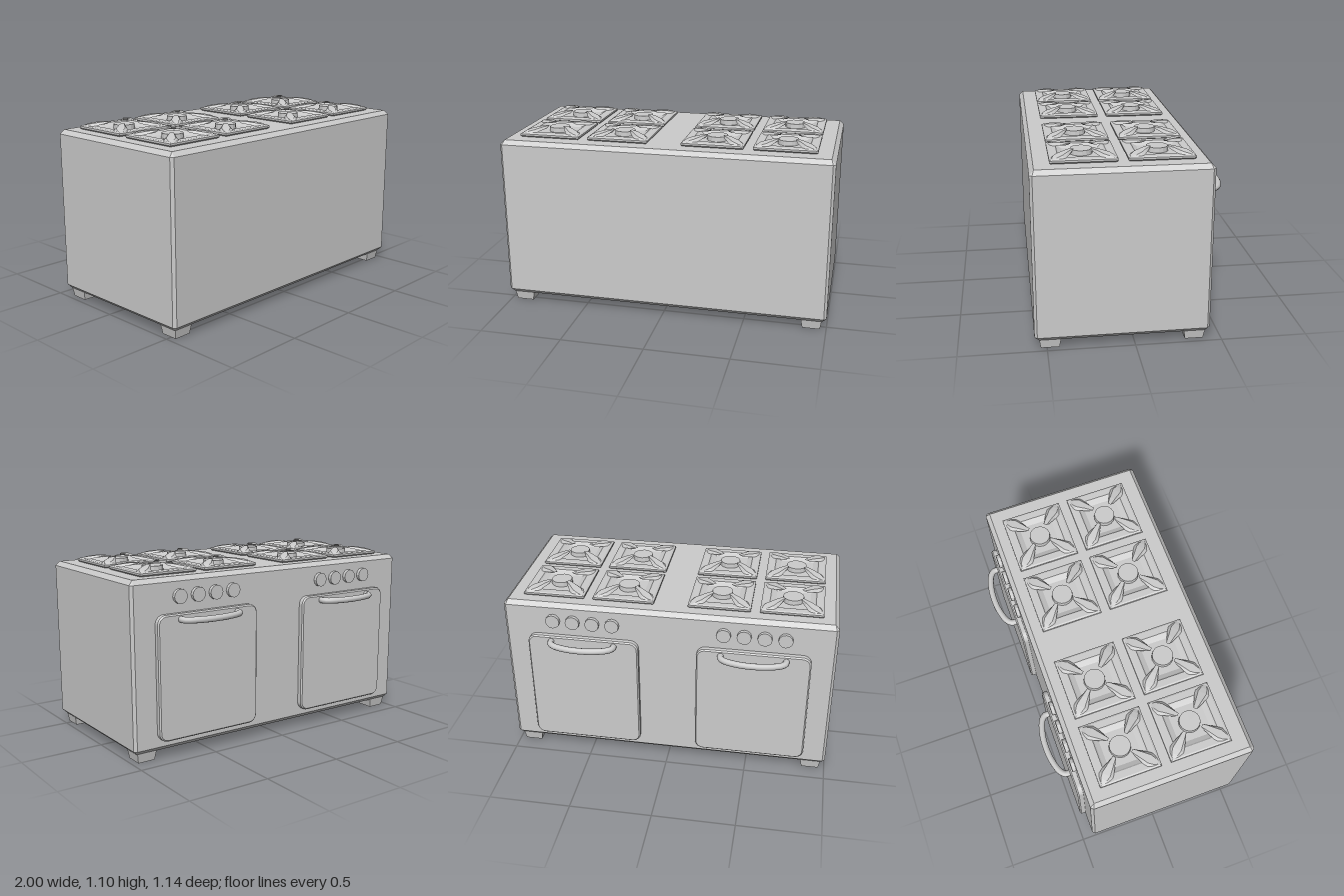
import * as THREE from 'three';
import { ConvexGeometry } from 'three/addons/geometries/ConvexGeometry.js';

const flat = new THREE.MeshStandardMaterial({ color: 0xcccccc, flatShading: true, side: THREE.DoubleSide });
const smooth = new THREE.MeshStandardMaterial({ color: 0xcccccc });

function add(parent, name, geometry, x = 0, y = 0, z = 0, material = flat) {
  const mesh = new THREE.Mesh(geometry, material);
  mesh.name = name;
  mesh.position.set(x, y, z);
  parent.add(mesh);
  return mesh;
}

// Box with every edge cut: c on top and bottom edges, s on the upright edges
function chamferedBox(w, h, d, c, s) {
  const pts = [];
  for (const i of [-1, 1]) for (const j of [-1, 1]) for (const k of [-1, 1]) {
    const p = (x, y, z) => pts.push(new THREE.Vector3(i * x, j * y, k * z));
    p(w / 2 - s, h / 2 - c, d / 2);
    p(w / 2, h / 2 - c, d / 2 - s);
    p(w / 2 - c, h / 2, d / 2 - c);
  }
  return new ConvexGeometry(pts);
}

// Box narrowing toward the floor
function footGeometry() {
  const g = new THREE.BoxGeometry(0.125, 0.06, 0.125);
  const p = g.attributes.position;
  for (let i = 0; i < p.count; i++) {
    if (p.getY(i) < 0) p.setXYZ(i, p.getX(i) * 0.84, p.getY(i), p.getZ(i) * 0.84);
  }
  return g;
}

// Square dish: outer plate, raised rim and sunken floor
function trayGeometry() {
  const profile = [[0.178, 0], [0.186, 0.008], [0.186, 0.019], [0.176, 0.024],
    [0.136, 0.024], [0.128, 0.018], [0.102, 0.006], [0, 0.006]];
  return new THREE.LatheGeometry(
    profile.map(([h, y]) => new THREE.Vector2(h * Math.SQRT2, y)), 4, Math.PI / 4);
}

// Pan support: arched arm from the tray corner inward, along +x
function armGeometry() {
  // distance from centre (top), distance (bottom), top y, bottom y, half width
  const sections = [[0.075, 0.098, 0.048, 0.034, 0.018], [0.125, 0.135, 0.046, 0.03, 0.03],
    [0.185, 0.19, 0.038, 0.02, 0.046], [0.215, 0.22, 0.032, 0.018, 0.034], [0.24, 0.255, 0.024, 0.016, 0.008]];
  const g = new THREE.BoxGeometry(4, 1, 1, 4, 1, 1);
  const p = g.attributes.position;
  for (let i = 0; i < p.count; i++) {
    const [dt, db, yt, yb, w] = sections[Math.round(p.getX(i) + 2)];
    const top = p.getY(i) > 0;
    p.setXYZ(i, top ? dt : db, top ? yt : yb, Math.sign(p.getZ(i)) * w * (top ? 0.55 : 1));
  }
  return g;
}

// Rounded door panel with a slim bevel, its back at z = 0
function doorGeometry() {
  const b = 0.008, w = 0.34 - b, h = 0.3675 - b, r = 0.045;
  const s = new THREE.Shape();
  s.moveTo(-w + r, -h);
  s.lineTo(w - r, -h);
  s.absarc(w - r, -h + r, r, -Math.PI / 2, 0);
  s.absarc(w - r, h - r, r, 0, Math.PI / 2);
  s.absarc(-w + r, h - r, r, Math.PI / 2, Math.PI);
  s.absarc(-w + r, -h + r, r, Math.PI, Math.PI * 1.5);
  const g = new THREE.ExtrudeGeometry(s, {
    depth: 0.03, bevelThickness: b, bevelSize: b, bevelSegments: 1, curveSegments: 4,
  });
  return g.translate(0, 0, -0.003);
}

// Bowed bar with both ends set into the door
function handleGeometry() {
  const half = [[0.192, 0.025], [0.192, 0.06], [0.165, 0.087], [0.085, 0.112]];
  const pts = half.map(([x, z]) => new THREE.Vector3(-x, 0, z));
  pts.push(new THREE.Vector3(0, 0, 0.119));
  pts.push(...half.slice().reverse().map(([x, z]) => new THREE.Vector3(x, 0, z)));
  return new THREE.TubeGeometry(new THREE.CatmullRomCurve3(pts), 28, 0.019, 10, false);
}

export function createModel() {
  const model = new THREE.Group();
  model.name = 'stove';

  add(model, 'body', chamferedBox(2, 1, 1, 0.026, 0.016), 0, 0.555, 0.07);

  // Feet
  const foot = footGeometry();
  for (const x of [-0.91, 0.91]) for (const z of [0.482, -0.345]) add(model, 'foot', foot, x, 0.03, z);

  // Eight burners in two blocks of four
  const tray = trayGeometry();
  const arm = armGeometry();
  const cap = new THREE.CylinderGeometry(0.062, 0.064, 0.028, 16);
  for (const x of [-0.721, -0.296, 0.28, 0.706]) for (const z of [-0.156, 0.271]) {
    const burner = new THREE.Group();
    burner.name = 'burner';
    burner.position.set(x, 1.055, z);
    add(burner, 'burnerTray', tray);
    add(burner, 'burnerCap', cap, 0, 0.02, 0);
    for (let i = 0; i < 4; i++) {
      add(burner, 'panSupport', arm).rotation.y = Math.PI / 4 + i * Math.PI / 2;
    }
    model.add(burner);
  }

  // Two ovens on the -z side, each with door, handle and four knobs
  const door = doorGeometry();
  const handle = handleGeometry();
  const knob = new THREE.CylinderGeometry(0.043, 0.043, 0.025, 12).rotateX(Math.PI / 2);
  for (const x of [-0.519, 0.513]) {
    const oven = new THREE.Group();
    oven.name = 'oven';
    oven.position.set(x, 0, -0.43);
    oven.rotation.y = Math.PI;
    add(oven, 'ovenDoor', door, 0, 0.4825, 0);
    add(oven, 'doorHandle', handle, 0, 0.818, 0, smooth);
    for (let i = 0; i < 4; i++) add(oven, 'knob', knob, (i - 1.5) * 0.121, 0.944, 0.0095);
    model.add(oven);
  }
  return model;
}
